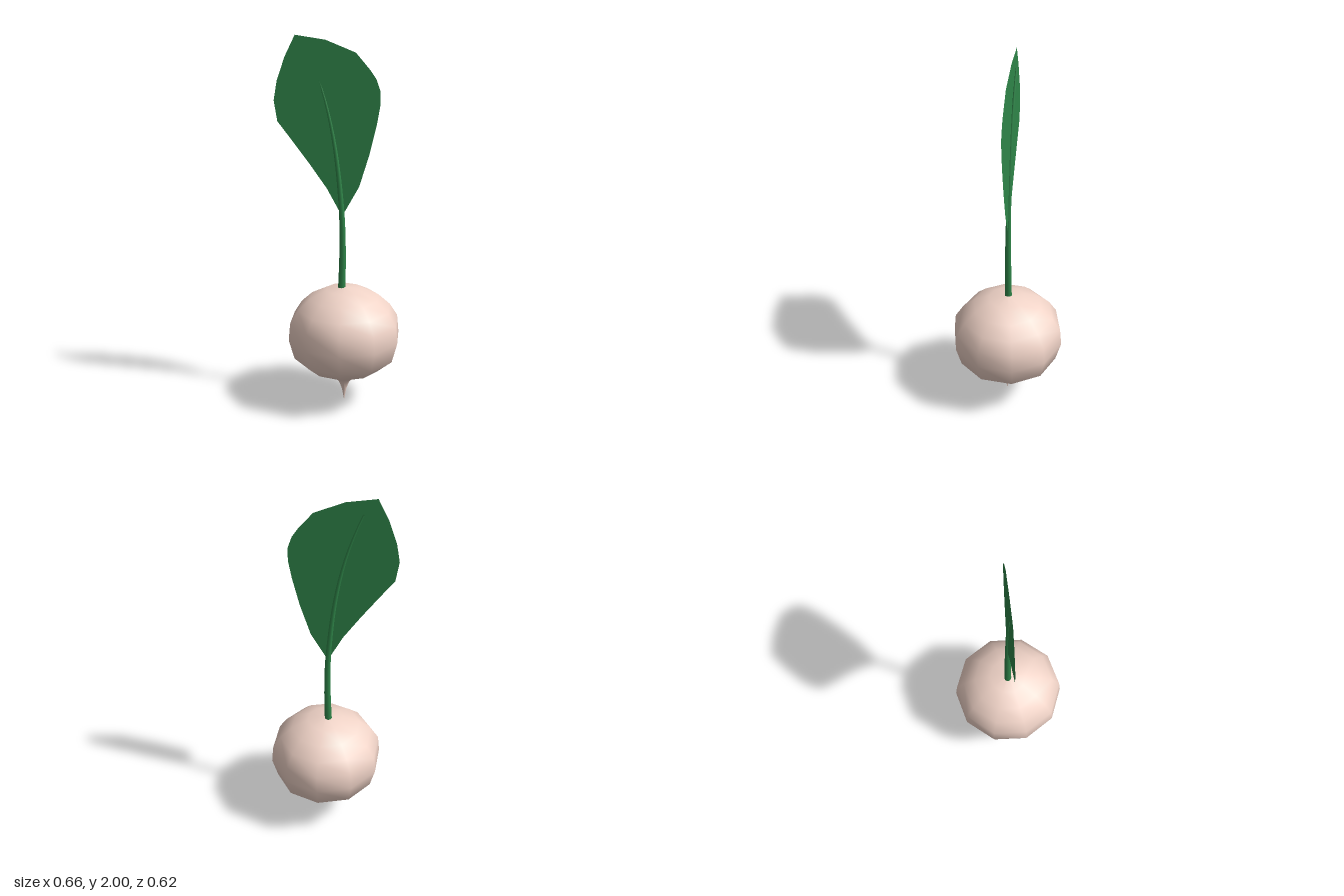
import * as THREE from 'three';

const V2 = (p) => new THREE.Vector2(p[0], p[1]);

// Tube along a curve whose radius shrinks by a rule
function taperedTube(curve, segments, sides, radiusAt) {
  const geo = new THREE.TubeGeometry(curve, segments, 1, sides, false);
  const pos = geo.attributes.position;
  const v = new THREE.Vector3();
  for (let i = 0; i < pos.count; i++) {
    const t = Math.floor(i / (sides + 1)) / segments;
    const c = curve.getPointAt(t);
    v.fromBufferAttribute(pos, i).sub(c).multiplyScalar(radiusAt(t)).add(c);
    pos.setXYZ(i, v.x, v.y, v.z);
  }
  return geo;
}

export function createModel() {
  const model = new THREE.Group();
  model.name = 'radish';
  const skin = new THREE.MeshStandardMaterial({ color: 0xf0d3c7 });
  const green = new THREE.MeshStandardMaterial({ color: 0x2f8549, side: THREE.DoubleSide });

  const add = (name, geometry, material) => {
    const mesh = new THREE.Mesh(geometry, material);
    mesh.name = name;
    model.add(mesh);
    return mesh;
  };

  // Ten-sided bulb with a thin root tail: radius, height
  const profile = [
    [0, 0], [0.013, 0.07], [0.03, 0.115], [0.058, 0.142], [0.12, 0.172], [0.2, 0.21],
    [0.278, 0.275], [0.308, 0.385], [0.299, 0.48], [0.255, 0.55], [0.19, 0.61],
    [0.1, 0.655], [0, 0.667],
  ].map(V2);
  const bulb = add('bulb', new THREE.LatheGeometry(profile, 10), skin);
  bulb.position.x = 0.035;

  // Stem running on as the midrib of the leaf
  const stemCurve = new THREE.CatmullRomCurve3([
    [0.02, 0.64], [0.025, 0.85], [0.02, 1.08], [-0.015, 1.42], [-0.063, 1.66], [-0.12, 1.84], [-0.152, 1.92],
  ].map(([x, y]) => new THREE.Vector3(x, y, -0.002)));
  add('stem', taperedTube(stemCurve, 20, 8, (t) => 0.02 - 0.016 * t), green);

  // Flat leaf blade, turned slightly about the upright axis
  const outline = [
    [0.022, 1.06], [0.111, 1.22], [0.164, 1.394], [0.2, 1.548], [0.217, 1.648], [0.217, 1.717],
    [0.195, 1.78], [0.165, 1.825], [0.09, 1.913], [-0.063, 1.976], [-0.217, 2],
    [-0.27, 1.892], [-0.312, 1.77], [-0.329, 1.67], [-0.312, 1.563], [-0.249, 1.479],
    [-0.148, 1.341], [-0.058, 1.21],
  ].map(V2);
  const leaf = add('leaf', new THREE.ShapeGeometry(new THREE.Shape(outline)), green);
  leaf.rotation.y = 0.057;
  leaf.position.z = -0.002;

  return model;
}
